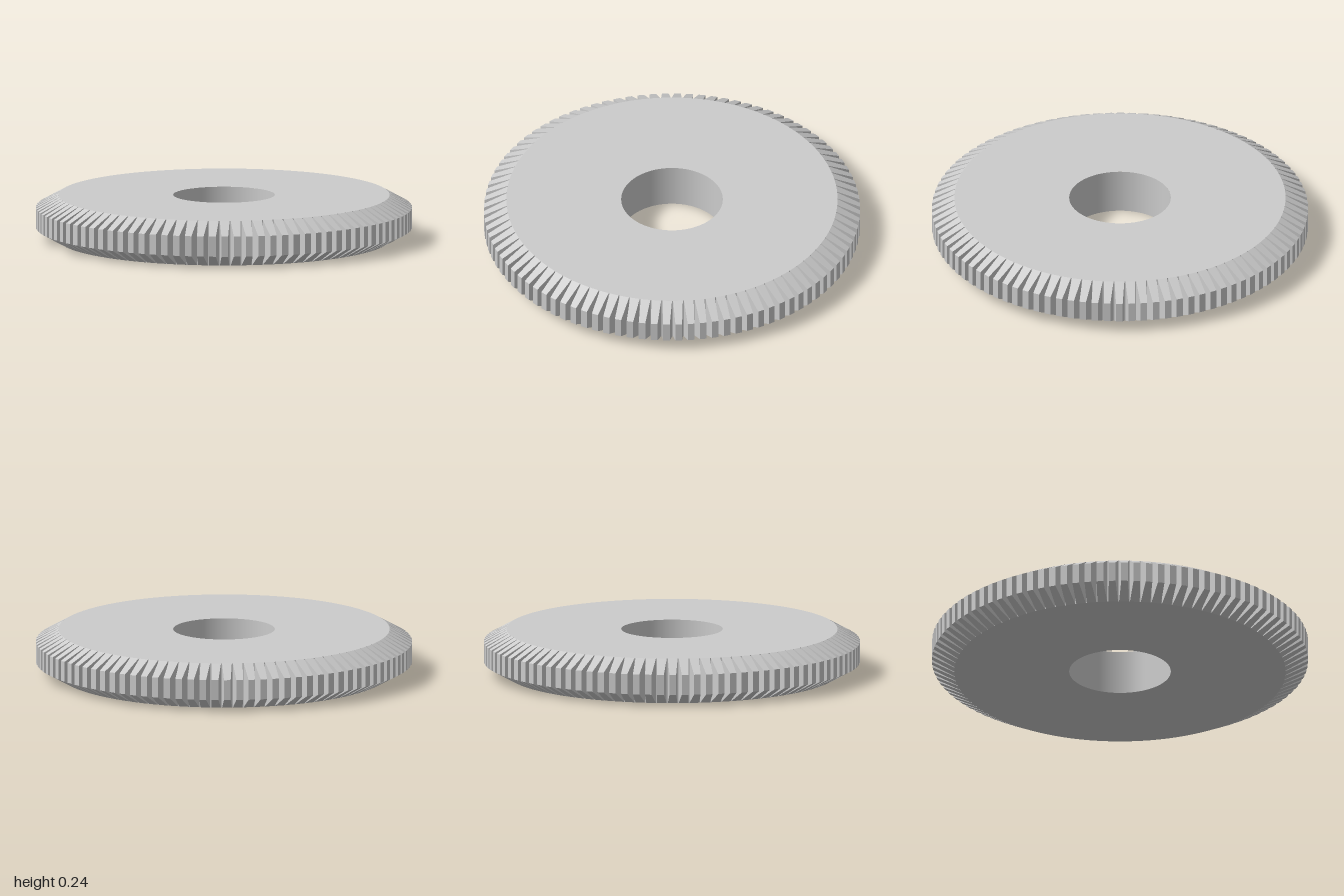
import * as THREE from 'three';

const TEETH = 96;
const HEIGHT = 0.24;
const BORE = 0.27;  // radius of the centre hole
const ROOT = 0.88;  // radius of the tooth roots and of the flat faces
const TIP = 1;
const BEVEL = 0.066; // height lost at the tooth tips, above and below

// Toothed disc: rings of points joined from the bore over the top, down the rim and back
function gearBody() {
  const pitch = (Math.PI * 2) / TEETH;
  const tooth = [[-0.45, ROOT], [-0.27, TIP], [0.27, TIP], [0.45, ROOT]];
  const outline = [];
  for (let t = 0; t < TEETH; t++) {
    for (const [f, r] of tooth) outline.push({ a: (t + f) * pitch, r });
  }
  const ring = (radius, height) => outline.map(({ a, r }) =>
    [Math.sin(a) * radius(r), height(r), Math.cos(a) * radius(r)]);
  const drop = (r) => BEVEL * (r - ROOT) / (TIP - ROOT);
  const rings = [
    ring(() => BORE, () => HEIGHT),
    ring(() => ROOT, () => HEIGHT),
    ring((r) => r, (r) => HEIGHT - drop(r)),
    ring((r) => r, (r) => drop(r)),
    ring(() => ROOT, () => 0),
    ring(() => BORE, () => 0),
  ];

  const pos = [];
  const n = outline.length;
  for (let k = 0; k < rings.length - 1; k++) {
    const a = rings[k], b = rings[k + 1];
    for (let i = 0; i < n; i++) {
      const j = (i + 1) % n;
      // on the bevels the gaps between teeth have no face
      if ((k === 1 || k === 3) && i % 4 === 3) continue;
      // skip the corner where both rings share a point
      if (a[i].every((v, c) => v === b[i][c])) pos.push(...a[i], ...b[j], ...a[j]);
      else if (a[j].every((v, c) => v === b[j][c])) pos.push(...a[i], ...b[i], ...b[j]);
      else pos.push(...a[i], ...b[i], ...b[j], ...a[i], ...b[j], ...a[j]);
    }
  }
  const geo = new THREE.BufferGeometry();
  geo.setAttribute('position', new THREE.Float32BufferAttribute(pos, 3));
  geo.computeVertexNormals();
  return geo;
}

export function createModel() {
  const group = new THREE.Group();
  group.name = 'gearWheel';

  const body = new THREE.Mesh(gearBody(),
    new THREE.MeshStandardMaterial({ color: 0xcccccc, flatShading: true }));
  body.name = 'toothedDisc';
  group.add(body);

  // Smooth wall of the centre hole, facing inward
  const wall = [new THREE.Vector2(BORE, HEIGHT), new THREE.Vector2(BORE, 0)];
  const bore = new THREE.Mesh(new THREE.LatheGeometry(wall, 96),
    new THREE.MeshStandardMaterial({ color: 0xcccccc }));
  bore.name = 'boreWall';
  group.add(bore);

  return group;
}
